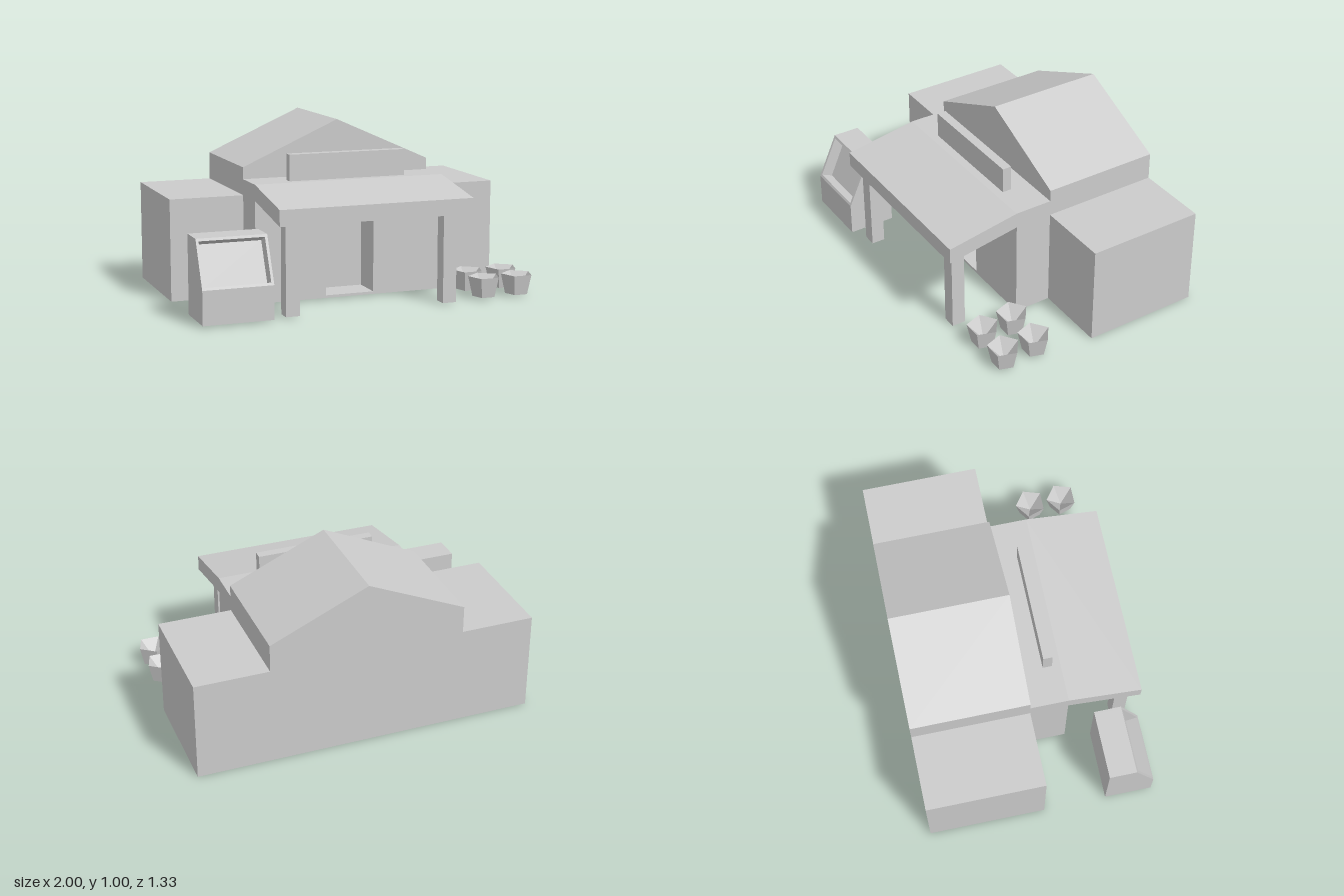
import * as THREE from 'three';

const material = new THREE.MeshStandardMaterial({ color: 0xcccccc, flatShading: true });

export function createModel() {
  const model = new THREE.Group();

  function add(name, geometry, parent = model) {
    const mesh = new THREE.Mesh(geometry, material);
    mesh.name = name;
    parent.add(mesh);
    return mesh;
  }

  // Box given by its limits on each axis
  function box(name, [x0, x1], [y0, y1], [z0, z1], parent) {
    const mesh = add(name, new THREE.BoxGeometry(x1 - x0, y1 - y0, z1 - z0), parent);
    mesh.position.set((x0 + x1) / 2, (y0 + y1) / 2, (z0 + z1) / 2);
    return mesh;
  }

  function extrude(points, depth) {
    const shape = new THREE.Shape(points.map(([a, b]) => new THREE.Vector2(a, b)));
    return new THREE.ExtrudeGeometry(shape, { depth, bevelEnabled: false });
  }

  // Side profile in (z, y), extruded across x
  function sideExtrude(name, points, x0, x1, parent) {
    return add(name, extrude(points, x1 - x0).rotateY(-Math.PI / 2).translate(x1, 0, 0), parent);
  }

  const back = -0.665, front = 0.02, porch = 0.24;
  const left = 0.565, right = -0.57;

  // Gabled hall with a flat-roofed wing on each side
  const gable = [[right, 0], [left, 0], [left, 0.745], [0, 0.997], [right, 0.745]];
  add('hall', extrude(gable, front - back).translate(0, 0, back));
  box('leftWing', [left, 0.993], [0, 0.585], [back, front]);
  box('rightWing', [-1, right], [0, 0.585], [back, front]);

  // Front wall with a recessed doorway
  box('frontWallLeft', [0.14, left], [0, 0.585], [front, porch]);
  box('frontWallRight', [right, -0.15], [0, 0.585], [front, porch]);
  box('doorStep', [-0.15, 0.14], [0, 0.015], [front, porch]);
  box('door', [-0.15, 0.14], [0.015, 0.585], [front, 0.05]);

  // Porch roof: flat by the hall, sloping down to the front
  sideExtrude('porchRoof', [
    [front, 0.585], [porch, 0.585], [0.667, 0.512], [0.667, 0.603], [porch, 0.677], [front, 0.677],
  ], right, left);
  box('signBoard', [-0.35, 0.35], [0.677, 0.828], [0.138, 0.192]);
  for (const x of [-0.48, 0.45]) {
    box('porchPost', [x - 0.04, x + 0.04], [0.005, 0.53], [0.535, 0.615]);
  }

  // Display chest: solid sides, with a sunken sloping panel between them
  const chest = new THREE.Group();
  chest.name = 'displayChest';
  model.add(chest);
  const outline = [[0.39, 0.01], [0.667, 0.01], [0.667, 0.2], [0.549, 0.457], [0.39, 0.457]];
  const sunken = [
    [0.39, 0.01], [0.667, 0.01], [0.667, 0.2], [0.66, 0.214], [0.595, 0.185],
    [0.491, 0.414], [0.555, 0.443], [0.549, 0.457], [0.39, 0.457],
  ];
  sideExtrude('chestBody', sunken, -0.985, -0.617, chest);
  sideExtrude('chestSideRight', outline, -1, -0.985, chest);
  sideExtrude('chestSideLeft', outline, -0.617, -0.602, chest);

  // Five-sided pots with hollow tops
  const potProfile = [[0, 0.01], [0.067, 0.01], [0.0925, 0.125], [0, 0.03]];
  const potGeometry = new THREE.LatheGeometry(potProfile.map(([r, y]) => new THREE.Vector2(r, y)), 5);
  for (const [x, z] of [[0.69, 0.347], [0.908, 0.347], [0.7, 0.545], [0.908, 0.545]]) {
    const pot = add('pot', potGeometry);
    pot.position.set(x, 0, z);
    pot.rotation.y = Math.PI;
  }

  return model;
}
